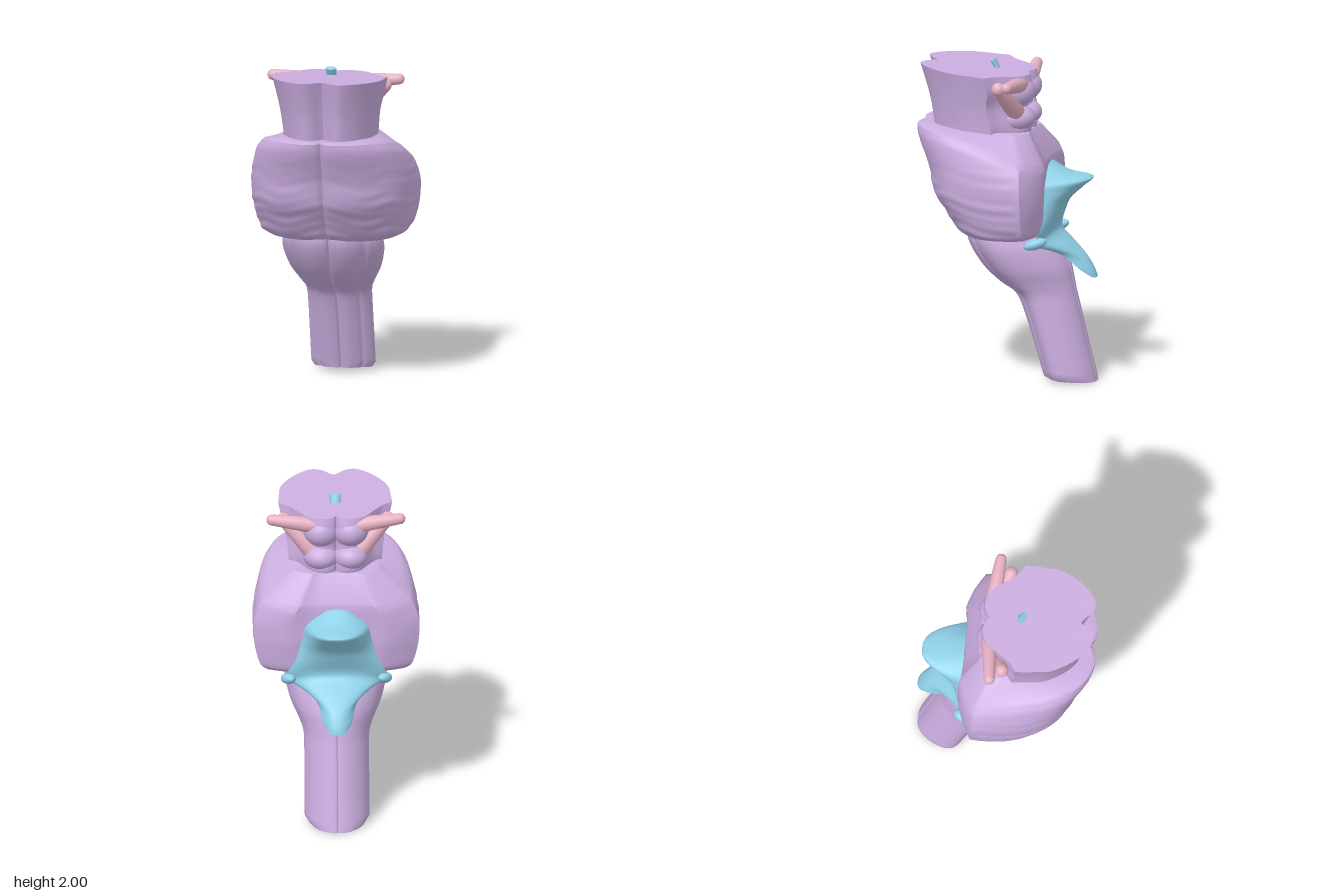
import * as THREE from 'three';
import { toCreasedNormals } from 'three/addons/utils/BufferGeometryUtils.js';

const purple = new THREE.MeshStandardMaterial({ color: 0xcbaee0 });
const pink = new THREE.MeshStandardMaterial({ color: 0xe6b0c3 });
const blue = new THREE.MeshStandardMaterial({ color: 0x8fd0e8, side: THREE.DoubleSide });

const lerp = THREE.MathUtils.lerp;

// Smoothly resample a table of rows (Catmull-Rom on every column)
function resample(rows, steps) {
  const at = i => rows[Math.min(Math.max(i, 0), rows.length - 1)];
  const out = [];
  for (let i = 0; i < rows.length - 1; i++) {
    for (let k = 0; k < steps; k++) {
      const t = k / steps;
      out.push(at(i).map((p1, c) => {
        const p0 = at(i - 1)[c], p2 = at(i + 1)[c], p3 = at(i + 2)[c];
        return p1 + 0.5 * t * (p2 - p0 + t * (2 * p0 - 5 * p1 + 4 * p2 - p3 + t * (3 * (p1 - p2) + p3 - p0)));
      }));
    }
  }
  out.push(rows[rows.length - 1]);
  return out;
}

// Half outline (x 0..1, s 0 front..1 back) mirrored into a full ring
const mirrorOutline = half => [...half, ...half.slice(1, -1).reverse().map(([x, s]) => [-x, s])];

// Loft an outline through levels [yFront, yBack, zFront, zBack, halfWidth], bottom to top;
// bend above 1 keeps the front of each level flatter than its back
function loft(outline, levels, crease, bend = 1, ripple = () => 0) {
  const n = outline.length, pos = [], idx = [];
  for (const [yf, yb, zf, zb, w] of levels) {
    for (const [nx, s] of outline) {
      const y = lerp(yf, yb, Math.max(s, 0) ** bend), r = 1 + ripple(nx, s, y);
      pos.push(nx * w * r, y, lerp(zf, zb, s) * (s < 0.6 ? r : 1));
    }
  }
  for (let i = 0; i < levels.length - 1; i++) {
    for (let j = 0; j < n; j++) {
      const a = i * n + j, b = i * n + (j + 1) % n;
      idx.push(a, b, b + n, a, b + n, a + n);
    }
  }
  // End caps
  for (const top of [false, true]) {
    const l = levels[top ? levels.length - 1 : 0], start = top ? (levels.length - 1) * n : 0;
    const c = pos.length / 3;
    pos.push(0, (l[0] + l[1]) / 2, (l[2] + l[3]) / 2);
    for (let j = 0; j < n; j++) {
      const a = start + j, b = start + (j + 1) % n;
      top ? idx.push(c, a, b) : idx.push(c, b, a);
    }
  }
  const g = new THREE.BufferGeometry();
  g.setAttribute('position', new THREE.Float32BufferAttribute(pos, 3));
  g.setIndex(idx);
  return toCreasedNormals(g, crease);
}

export function createModel() {
  const model = new THREE.Group();
  const add = (name, geometry, material) => {
    const mesh = new THREE.Mesh(geometry, material);
    mesh.name = name;
    model.add(mesh);
    return mesh;
  };

  // Lower stem: paired front columns, side swellings and a slanted cut end
  const stemOutline = mirrorOutline(resample([
    [0, 0.07], [0.06, 0.02], [0.32, 0], [0.58, 0.08], [0.68, 0.155], [0.8, 0.18], [0.96, 0.29],
    [1, 0.42], [0.93, 0.58], [0.78, 0.76], [0.55, 0.9], [0.3, 0.98], [0.06, 1], [0, 0.97]], 4));
  const stemLevels = resample([
    [0.06, 0.03, -0.222, -0.548, 0.2], [0.25, 0.24, -0.165, -0.495, 0.2], [0.45, 0.45, -0.1, -0.445, 0.2],
    [0.55, 0.55, -0.05, -0.42, 0.205], [0.62, 0.62, 0.05, -0.405, 0.235], [0.72, 0.72, 0.15, -0.38, 0.285],
    [0.85, 0.84, 0.23, -0.32, 0.315], [0.95, 0.93, 0.25, -0.25, 0.305], [1.02, 1.0, 0.2, -0.22, 0.27]], 5);
  add('lowerStem', loft(stemOutline, [[0.03, 0, -0.23, -0.555, 0.18], ...stemLevels], 0.8), purple);

  // Broad middle bulge with angled flat cuts at the back and fine ridges
  const bulgeOutline = mirrorOutline([
    ...resample([[0, 0.06], [0.08, 0.016], [0.27, 0], [0.53, 0.048], [0.79, 0.185], [0.93, 0.36],
      [0.995, 0.6], [1, 0.87]], 6),
    [0.92, 0.905], [0.8, 0.95], [0.65, 0.985], [0.55, 1], [0.48, 0.985], [0.25, 0.98], [0, 0.98]]);
  const bulgeLevels = resample([
    [0.93, 0.95, 0.24, -0.245, 0.42], [0.97, 0.98, 0.3, -0.26, 0.465], [1.08, 1.06, 0.37, -0.27, 0.495],
    [1.2, 1.15, 0.445, -0.28, 0.51], [1.35, 1.25, 0.475, -0.28, 0.51], [1.53, 1.34, 0.545, -0.28, 0.475],
    [1.6, 1.38, 0.555, -0.275, 0.435]], 7);
  const ridges = (x, s, y) => s > 0.8 ? 0 :
    0.007 * Math.sin(y * 75 + Math.abs(x) * 5 + 2 * Math.sin(x * x * 7)) * Math.sin(y * 17 + Math.abs(x) * 4) * (1.61 - y) / 0.4;
  add('middleBulge', loft(bulgeOutline, [
    ...bulgeLevels, [1.612, 1.4, 0.535, -0.27, 0.415], [1.6, 1.57, 0.42, -0.16, 0.27]], 0.65, 1.7, ridges), purple);

  // Upper block, notched in front, with a flat slanted top
  const upperOutline = mirrorOutline([
    ...resample([[0, 0.11], [0.07, 0.08], [0.22, 0.01], [0.42, 0], [0.7, 0.12], [0.93, 0.32],
      [0.98, 0.5], [1, 0.66]], 5),
    ...resample([[0.92, 0.69], [0.8, 0.74], [0.66, 0.84], [0.5, 0.95], [0.25, 1], [0.06, 0.97], [0, 0.93]], 4)]);
  const upperLevels = resample([
    [1.54, 1.54, 0.44, -0.14, 0.285], [1.62, 1.61, 0.45, -0.155, 0.29], [1.75, 1.74, 0.47, -0.125, 0.305],
    [1.87, 1.84, 0.5, -0.16, 0.33], [1.98, 1.93, 0.532, -0.145, 0.352]], 4);
  add('upperBlock', loft(upperOutline, upperLevels, 0.65), purple);

  for (const side of [-1, 1]) {
    // Two broad swellings on each side of the back
    for (const [y, ry] of [[1.825, 0.108], [1.655, 0.09]]) {
      const bump = add('backSwelling', new THREE.SphereGeometry(1, 28, 18), purple);
      bump.position.set(side * 0.09, y, -0.04);
      bump.scale.set(0.115, ry, 0.14);
    }
    // Tapered arms with rounded ends
    const arms = [
      ['upperArm', [0.12, 1.87, -0.1], [0.395, 1.9, -0.075], 0.052, 0.034],
      ['lowerArm', [0.15, 1.7, -0.075], [0.32, 1.875, -0.005], 0.058, 0.042]];
    for (const [name, from, to, r0, r1] of arms) {
      const a = new THREE.Vector3(...from), b = new THREE.Vector3(...to);
      a.x *= side;
      b.x *= side;
      const len = a.distanceTo(b), profile = [new THREE.Vector2(0, 0), new THREE.Vector2(r0, 0)];
      for (let k = 0; k <= 8; k++) {
        const t = k / 8 * Math.PI / 2;
        profile.push(new THREE.Vector2(r1 * Math.cos(t), len + r1 * Math.sin(t)));
      }
      const arm = add(name, new THREE.LatheGeometry(profile, 20), pink);
      arm.position.copy(a);
      arm.quaternion.setFromUnitVectors(new THREE.Vector3(0, 1, 0), b.sub(a).normalize());
    }
  }

  // Tent-like membrane: rows [yCentre, zCentre, yEdge, zEdge, halfWidth], top to bottom
  const rows = resample([
    [1.375, -0.265, 1.35, -0.26, 0.09], [1.31, -0.38, 1.29, -0.27, 0.17], [1.285, -0.525, 1.25, -0.27, 0.2],
    [1.23, -0.475, 1.2, -0.27, 0.21], [1.14, -0.38, 1.12, -0.27, 0.23], [1.05, -0.335, 1.03, -0.27, 0.26],
    [0.97, -0.305, 0.93, -0.24, 0.32], [0.92, -0.325, 0.89, -0.2, 0.33], [0.86, -0.4, 0.87, -0.25, 0.25],
    [0.78, -0.49, 0.81, -0.36, 0.13], [0.7, -0.54, 0.72, -0.46, 0.095], [0.655, -0.555, 0.66, -0.535, 0.055]], 4);
  const cols = 32, membrane = new THREE.PlaneGeometry(1, 1, cols, rows.length - 1);
  const p = membrane.attributes.position;
  rows.forEach(([yc, zc, ye, ze, w], i) => {
    for (let j = 0; j <= cols; j++) {
      const u = j / cols * 2 - 1, k = Math.abs(u) ** 2.5;
      // reversed in x so the front of the sheet faces backwards
      p.setXYZ(i * (cols + 1) + j, -u * w, lerp(yc, ye, k), lerp(zc, ze, k));
    }
  });
  membrane.computeVertexNormals();
  add('membrane', membrane, blue);

  // Rounded side horns of the membrane
  for (const side of [-1, 1]) {
    const horn = add('membraneHorn', new THREE.SphereGeometry(1, 20, 14), blue);
    horn.position.set(side * 0.298, 0.905, -0.235);
    horn.scale.set(0.042, 0.034, 0.075);
    horn.rotation.set(0.3, side * 0.3, 0);
  }

  // Small tilted tab on the top
  const tab = add('topTab', new THREE.CylinderGeometry(0.035, 0.03, 0.075, 8), blue);
  tab.scale.z = 0.5;
  tab.position.set(0, 1.96, 0.088);
  tab.rotation.x = 0.5;

  return model;
}
